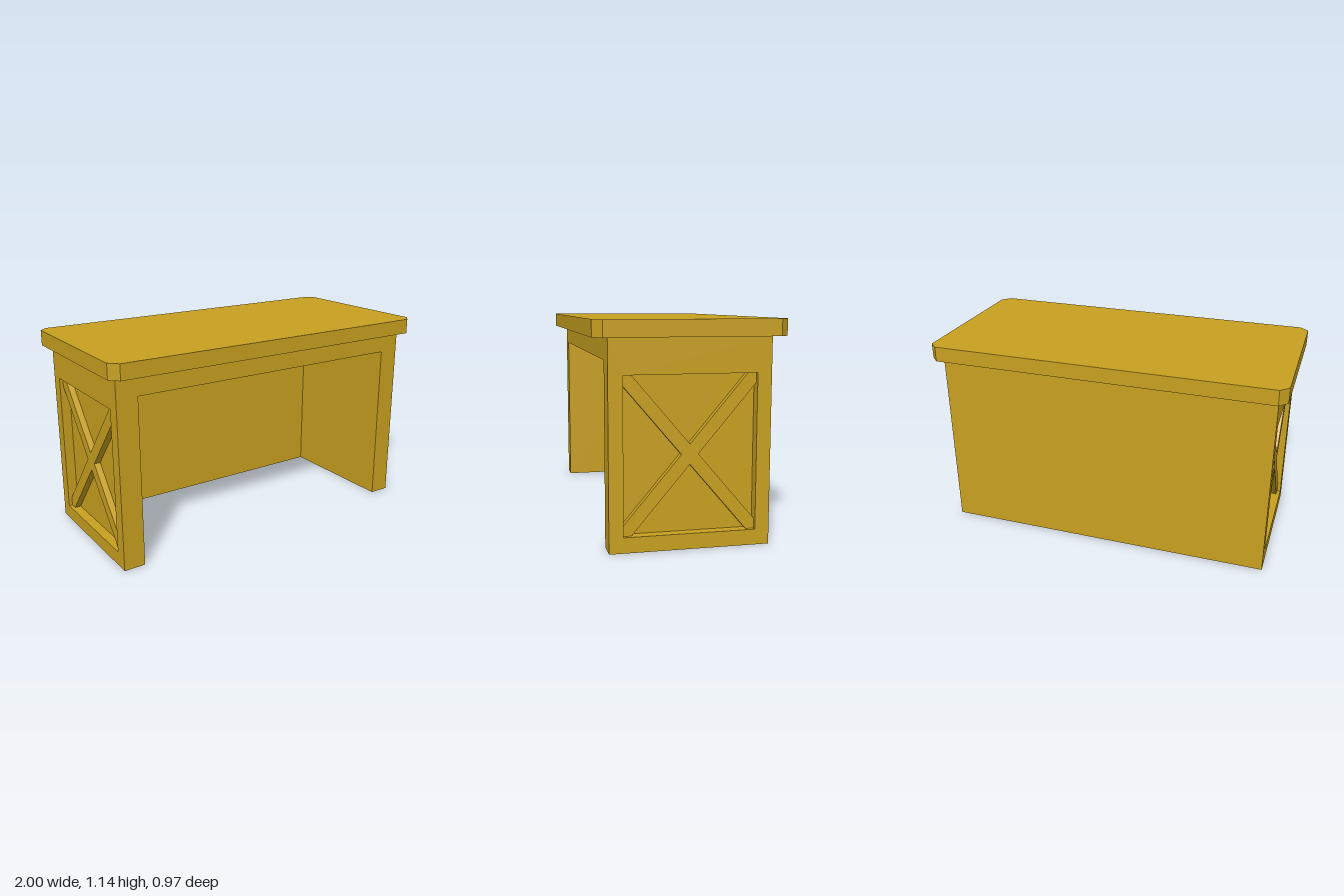
import * as THREE from 'three';

const material = new THREE.MeshStandardMaterial({ color: 0xc8a020, flatShading: true });

function shapeOf(points, Type = THREE.Shape) {
  return new Type(points.map(([x, y]) => new THREE.Vector2(x, y)));
}

function extrude(name, shape, depth) {
  const geometry = new THREE.ExtrudeGeometry(shape, { depth, bevelEnabled: false });
  const mesh = new THREE.Mesh(geometry, material);
  mesh.name = name;
  return mesh;
}

const halfWidth = 0.95, halfDepth = 0.41, bodyTop = 1.055;
const recess = 0.055;            // depth of the side panels below the frame
const core = halfWidth - recess; // half width of the body without its side frames

// Side frame with a sunken panel opening and a cross brace, facing +x
function createSide(name) {
  const side = new THREE.Group();
  side.name = name;
  const w = 0.337, y0 = 0.08, y1 = 0.875, mid = (y0 + y1) / 2;
  const bw = 0.043, bh = 0.051; // half sizes of the brace crossing

  const outline = shapeOf([[-halfDepth, 0], [halfDepth, 0], [halfDepth, bodyTop], [-halfDepth, bodyTop]]);
  outline.holes.push(shapeOf([[-w, y0], [-w, y1], [w, y1], [w, y0]], THREE.Path));
  const frame = extrude('sideFrame', outline, recess);

  const brace = extrude('crossBrace', shapeOf([
    [-w, y0], [-w + bw, y0], [0, mid - bh], [w - bw, y0], [w, y0], [w, y0 + bh],
    [bw, mid], [w, y1 - bh], [w, y1], [w - bw, y1], [0, mid + bh], [-w + bw, y1],
    [-w, y1], [-w, y1 - bh], [-bw, mid], [-w, y0 + bh],
  ]), recess - 0.02);

  for (const part of [frame, brace]) {
    part.geometry.rotateY(Math.PI / 2);
    part.geometry.translate(core, 0, 0);
    side.add(part);
  }
  return side;
}

export function createModel() {
  const model = new THREE.Group();
  model.name = 'desk';

  // Legs and front apron around the knee space
  const back = 0.08, openX = 0.83, openY = 0.94;
  const body = extrude('legsAndApron', shapeOf([
    [-core, 0], [-openX, 0], [-openX, openY], [openX, openY],
    [openX, 0], [core, 0], [core, bodyTop], [-core, bodyTop],
  ]), 2 * halfDepth - back);
  body.position.z = -halfDepth + back;
  model.add(body);

  // Closed back
  const panel = new THREE.Mesh(new THREE.BoxGeometry(2 * core, bodyTop, back), material);
  panel.name = 'backPanel';
  panel.position.set(0, bodyTop / 2, -halfDepth + back / 2);
  model.add(panel);

  // Both decorated sides
  const left = createSide('leftSide');
  const right = createSide('rightSide');
  right.rotation.y = Math.PI;
  model.add(left, right);

  // Desktop slab with clipped corners
  const X = 1, Z = 0.485, c = 0.046;
  const top = extrude('desktop', shapeOf([
    [-X, -Z + c], [-X + c, -Z], [X - c, -Z], [X, -Z + c],
    [X, Z - c], [X - c, Z], [-X + c, Z], [-X, Z - c],
  ]), 0.085);
  top.geometry.rotateX(-Math.PI / 2);
  top.position.y = bodyTop;
  model.add(top);

  return model;
}
